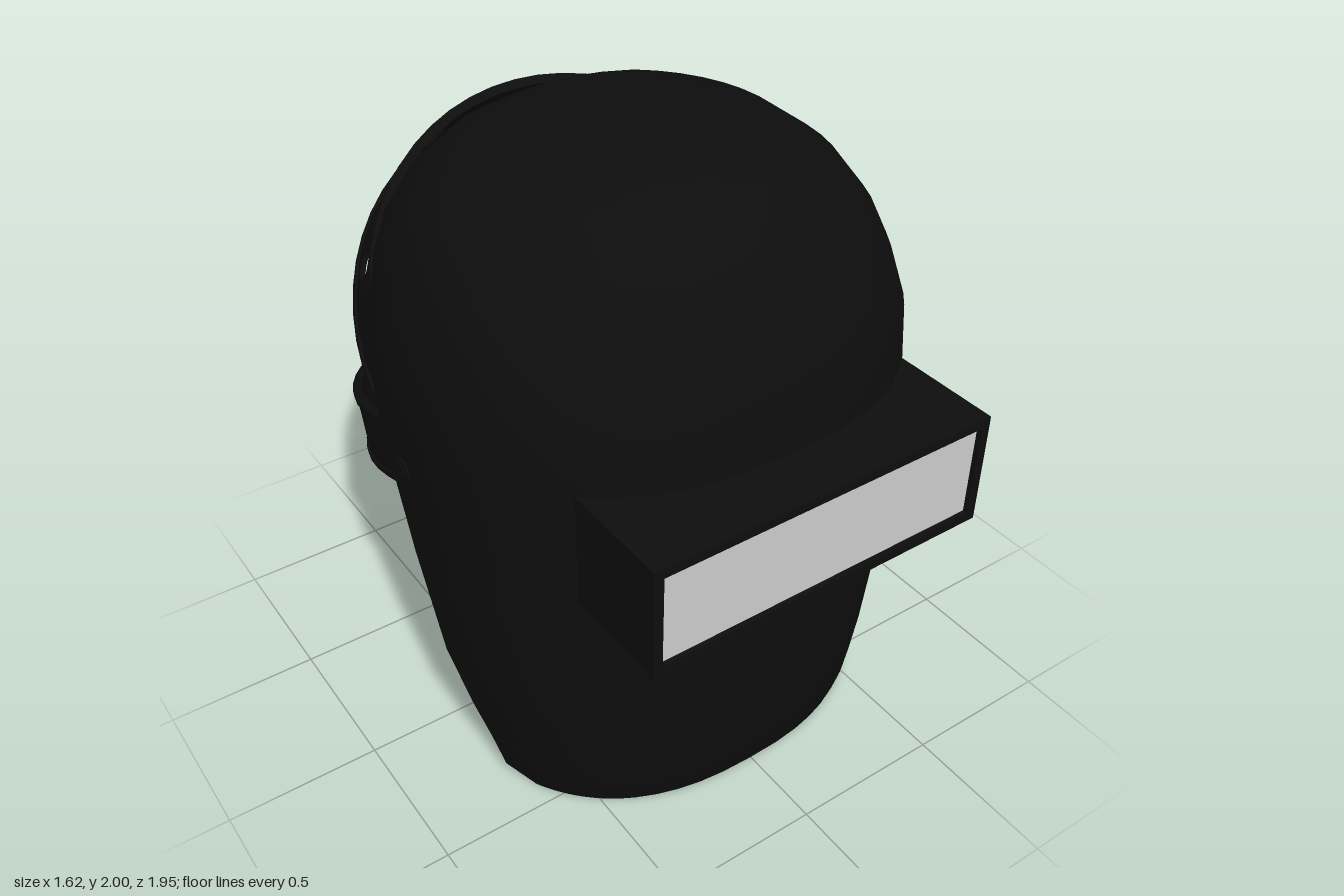
import * as THREE from 'three';
import { mergeGeometries, toCreasedNormals } from 'three/addons/utils/BufferGeometryUtils.js';

const dark = new THREE.MeshStandardMaterial({ color: 0x0d0d0d, side: THREE.DoubleSide });
const grey = new THREE.MeshStandardMaterial({ color: 0xcccccc });
const PIVOT_Y = 1.09, PIVOT_Z = 0.02;
const FULLNESS = 2.45; // superellipse exponent of the face side

function part(name, geometry, material = dark) {
  const mesh = new THREE.Mesh(geometry, material);
  mesh.name = name;
  return mesh;
}

// Shell rings from bottom to crown: height, half width, front depth, z of the rear edge
const RINGS = [
  [0, 0.72, 0.72, 0.42], [0.05, 0.735, 0.735, 0.33], [0.15, 0.74, 0.755, 0.285],
  [0.28, 0.763, 0.767, 0.24], [0.48, 0.793, 0.775, 0.17], [0.8, 0.8, 0.783, 0.05],
  [0.95, 0.8, 0.787, -0.01], [1.1, 0.8, 0.79, -0.085], [1.25, 0.797, 0.79, -0.165],
  [1.45, 0.783, 0.775, -0.27], [1.6, 0.74, 0.73, -0.345], [1.71, 0.7, 0.685, -0.37],
  [1.83, 0.615, 0.61, -0.385], [1.92, 0.49, 0.485, -0.39], [1.94, 0.43, 0.43, -0.39],
  [1.95, 0.4, 0.4, -0.39], [1.9535, 0.39, 0.39, -0.39], [1.975, 0.3, 0.3, -0.39],
  [1.995, 0.15, 0.15, -0.39], [2, 0, 0, -0.39],
];

// Thin double-walled shell: each ring is a closed loop, outside then back along the inside
function shellGeometry() {
  const side = 12, mid = 10, cols = side * 2 + mid, loop = 2 * (cols + 1);
  const wall = 0.015, positions = [], index = [];

  const addRing = ([y, rx, rz, edge], t) => {
    const n = THREE.MathUtils.lerp(FULLNESS, 2.1, THREE.MathUtils.smoothstep(y, 1.5, 1.95));
    let end = Math.PI;
    if (edge > 0) end = Math.acos((edge / rz) ** (n / 2));
    else if (rx > -edge) end = Math.acos(edge / rx);
    const win = Math.min(0.697, 0.5 * end);
    for (let k = 0; k < loop; k++) {
      const inner = k > cols;
      const c = inner ? loop - 1 - k : k;
      let a;
      if (c < side) a = -end + (end - win) * c / side;
      else if (c <= side + mid) a = -win + 2 * win * (c - side) / mid;
      else a = win + (end - win) * (c - side - mid) / side;
      const cut = inner ? t : 0;
      const w = Math.max(rx - cut, 0), d = Math.max(rz - cut, 0);
      const sin = Math.sin(a), cos = Math.cos(a);
      const front = cos > 0;
      const x = w * Math.sign(sin) * Math.abs(sin) ** (front ? 2 / n : 1);
      const z = front ? d * cos ** (2 / n) : w * cos;
      positions.push(x, y - cut * THREE.MathUtils.smoothstep(y, 1.4, 2), z);
    }
  };

  addRing(RINGS[0], 0); // closes the bottom rim
  RINGS.forEach((ring) => addRing(ring, wall));

  for (let j = 0; j < RINGS.length; j++) {
    const windowRow = j > 0 && RINGS[j - 1][0] >= 0.95 && RINGS[j - 1][0] < 1.25;
    for (let k = 0; k < loop; k++) {
      const c = k > cols ? loop - 2 - k : k;
      if (windowRow && c >= side && c < side + mid) continue; // viewing opening
      const n = (k + 1) % loop;
      const a = j * loop + k, b = j * loop + n;
      index.push(a, b, b + loop, a, b + loop, a + loop);
    }
  }
  const g = new THREE.BufferGeometry();
  g.setAttribute('position', new THREE.Float32BufferAttribute(positions, 3));
  g.setIndex(index);
  return toCreasedNormals(g, 0.8);
}

// Window box of four walls whose rear edges follow the curve of the shell
function windowBoxGeometry() {
  const w = 0.582, h = 0.185, t = 0.031, front = 0.972;
  const walls = [];
  for (const s of [-1, 1]) {
    walls.push(new THREE.BoxGeometry(2 * w, t, 1, 20, 1, 1).translate(0, s * (h - t / 2), 0));
    walls.push(new THREE.BoxGeometry(t, 2 * (h - t), 1).translate(s * (w - t / 2), 0, 0));
  }
  const g = mergeGeometries(walls);
  const p = g.attributes.position;
  for (let i = 0; i < p.count; i++) {
    const rear = 0.785 * (1 - Math.abs(p.getX(i) / 0.8) ** FULLNESS) ** (1 / FULLNESS) - 0.01;
    p.setZ(i, p.getZ(i) > 0 ? front : rear);
  }
  return toCreasedNormals(g, 0.6);
}

// Wraps a flat strip (x = angle, y = width, z = thickness) into a half circle with straight ends
function bend(g) {
  const radius = 0.745, centre = 0.25;
  const p = g.attributes.position;
  for (let i = 0; i < p.count; i++) {
    const a = p.getX(i), r = radius + p.getZ(i);
    const arc = THREE.MathUtils.clamp(a, -Math.PI / 2, Math.PI / 2);
    const straight = Math.abs(a - arc) * radius;
    p.setXYZ(i, -r * Math.sin(arc), p.getY(i), straight - centre - r * Math.cos(arc));
  }
  return toCreasedNormals(g, 0.7);
}

// Perforated strap with a raised rib along both edges
function makeStrap(name, tilt) {
  const half = 0.1, reach = 1.9, tiles = [];
  const stops = [0, 0.14, 0.285, 0.485, 0.625, 0.825, 0.965, 1.165, 1.3, 1.435, 1.57, reach];
  const holes = [0.285, 0.625, 0.965];
  for (const s of [-1, 1]) {
    for (let i = 0; i < stops.length - 1; i++) {
      const [a, b] = [s * stops[i], s * stops[i + 1]].sort((m, n) => m - n);
      const shape = new THREE.Shape([
        new THREE.Vector2(a, -half), new THREE.Vector2(b, -half),
        new THREE.Vector2(b, half), new THREE.Vector2(a, half),
      ]);
      if (holes.includes(stops[i])) {
        const hole = new THREE.Path();
        hole.absellipse((a + b) / 2, 0, 0.065, 0.049, 0, Math.PI * 2, true);
        shape.holes.push(hole);
      }
      const tile = new THREE.ExtrudeGeometry(shape, { depth: 0.016, bevelEnabled: false, curveSegments: 16 });
      tiles.push(tile.translate(0, 0, -0.008));
    }
  }
  const group = new THREE.Group();
  group.name = name;
  group.add(part('perforatedBand', bend(mergeGeometries(tiles))));
  for (const s of [-1, 1]) {
    const rib = new THREE.BoxGeometry(2 * reach, 0.018, 0.03, 34, 1, 1);
    rib.translate(0, s * (half - 0.004), 0);
    group.add(part('edgeRib', bend(rib)));
  }
  group.position.set(0, PIVOT_Y, PIVOT_Z);
  group.rotation.x = tilt;
  return group;
}

// Disc lying across the x axis
function disc(name, radius, depth, x) {
  const mesh = part(name, new THREE.CylinderGeometry(radius, radius, depth, 24));
  mesh.rotation.z = Math.PI / 2;
  mesh.position.set(x, PIVOT_Y, PIVOT_Z);
  return mesh;
}

export function createModel() {
  const model = new THREE.Group();
  model.name = 'protectiveFaceMask';

  model.add(part('shell', shellGeometry()));

  // Viewing window
  const box = part('windowBox', windowBoxGeometry());
  box.position.y = 1.1;
  const lens = part('lens', new THREE.BoxGeometry(1.11, 0.316, 0.012), grey);
  lens.position.set(0, 1.1, 0.95);
  model.add(box, lens);

  // Head straps
  model.add(makeStrap('upperStrap', Math.PI / 4));
  model.add(makeStrap('lowerStrap', -0.303));

  // Pivots joining straps and shell
  for (const [sideName, s] of [['left', 1], ['right', -1]]) {
    model.add(disc(sideName + 'StrapEnd', 0.1, 0.024, s * 0.745));
    model.add(disc(sideName + 'PivotBolt', 0.045, 0.09, s * 0.76));
    model.add(disc(sideName + 'PivotCap', 0.027, 0.12, s * 0.748));
  }
  return model;
}
